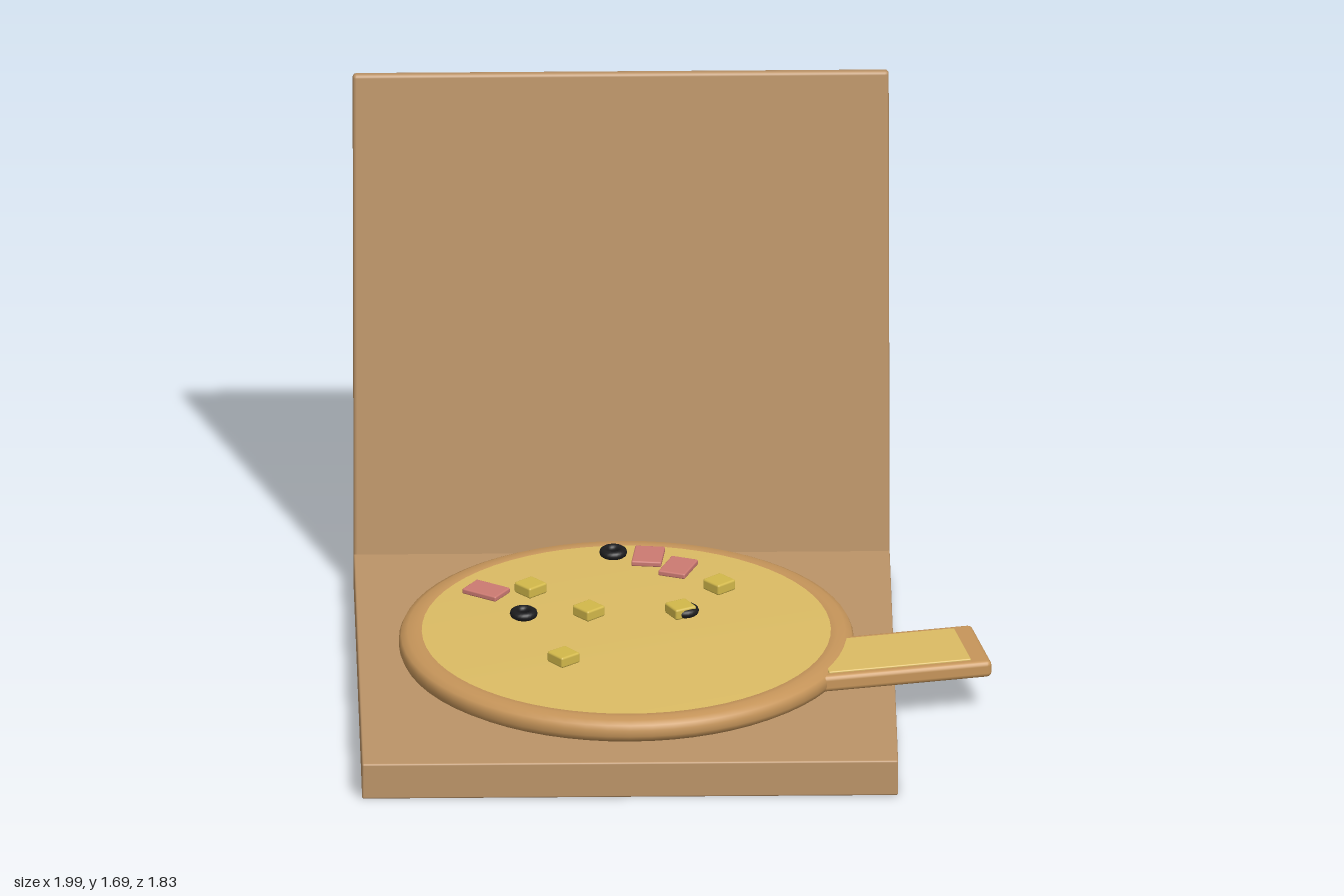
import * as THREE from 'three';
import { RoundedBoxGeometry } from 'three/addons/geometries/RoundedBoxGeometry.js';

function material(name, color) {
  const m = new THREE.MeshStandardMaterial({ color });
  m.name = name;
  return m;
}

export function createModel() {
  const model = new THREE.Group();
  model.name = 'pizzaBox';
  const cardboard = material('cardboard', 0xbc9468);
  const crustMat = material('crust', 0xc6955a);
  const cheeseMat = material('cheese', 0xdcbc64);
  const hamMat = material('ham', 0xcc7a72);
  const pineappleMat = material('pineapple', 0xd2b84a);
  const oliveMat = material('olive', 0x1c1c1e);

  function add(name, geometry, mat, x, y, z, parent = model) {
    const mesh = new THREE.Mesh(geometry, mat);
    mesh.name = name;
    mesh.position.set(x, y, z);
    parent.add(mesh);
    return mesh;
  }
  const block = (w, h, d, r) => new RoundedBoxGeometry(w, h, d, 2, r);
  const lathe = (points) =>
    new THREE.LatheGeometry(points.map(([r, y]) => new THREE.Vector2(r, y)), 64);

  // Open cardboard box: tray and leaning lid
  add('boxBase', block(1.69, 0.12, 1.69, 0.006), cardboard, -0.155, 0.06, 0.07);
  const lid = add('boxLid', block(1.69, 1.67, 0.034, 0.012), cardboard, -0.155, 0.863, -0.801);
  lid.rotation.x = -0.116;

  // Round pizza: rounded crust with a softly shaded cheese disc
  add('crust', lathe([
    [0, 0.12], [0.69, 0.12], [0.71, 0.132], [0.717, 0.148], [0.717, 0.168],
    [0.71, 0.183], [0.69, 0.193], [0.665, 0.196], [0.64, 0.196], [0.63, 0.185],
  ]), crustMat, -0.153, 0, 0.063);
  add('cheese', lathe([[0.645, 0.175], [0.645, 0.197], [0, 0.197]]), cheeseMat, -0.153, 0, 0.063);

  // Rectangular piece sticking out from the rim
  const slice = new THREE.Group();
  slice.name = 'sidePiece';
  slice.position.set(0.967, 0, 0.155);
  slice.rotation.y = 0.205;
  model.add(slice);
  add('sideCrust', block(0.56, 0.055, 0.3, 0.016), crustMat, -0.28, 0.157, 0, slice);
  add('sideCheese', block(0.46, 0.02, 0.245, 0.004), cheeseMat, -0.293, 0.18, 0.003, slice);

  // Pineapple chunks: x, z, turn
  const chunk = block(0.075, 0.036, 0.075, 0.007);
  [
    [-0.45, -0.225, 0.72], [-0.27, -0.045, 0.72], [0.145, -0.24, 0.72],
    [0.02, -0.05, 0.5], [-0.355, 0.31, 0.68],
  ].forEach(([x, z, turn]) => {
    add('pineappleChunk', chunk, pineappleMat, x, 0.215, z).rotation.y = turn;
  });

  // Ham pieces: x, z, width, depth, turn
  [
    [-0.59, -0.225, 0.125, 0.088, -0.58],
    [-0.075, -0.48, 0.095, 0.125, -0.12],
    [0.018, -0.393, 0.09, 0.125, -0.37],
  ].forEach(([x, z, w, d, turn]) => {
    add('hamPiece', block(w, 0.018, d, 0.005), hamMat, x, 0.205, z).rotation.y = turn;
  });

  // Olive rings
  const ring = new THREE.TorusGeometry(0.03, 0.014, 10, 24);
  ring.rotateX(Math.PI / 2);
  [[-0.185, -0.5], [-0.475, -0.035], [0.034, -0.05]].forEach(([x, z]) => {
    add('oliveRing', ring, oliveMat, x, 0.212, z);
  });

  return model;
}
